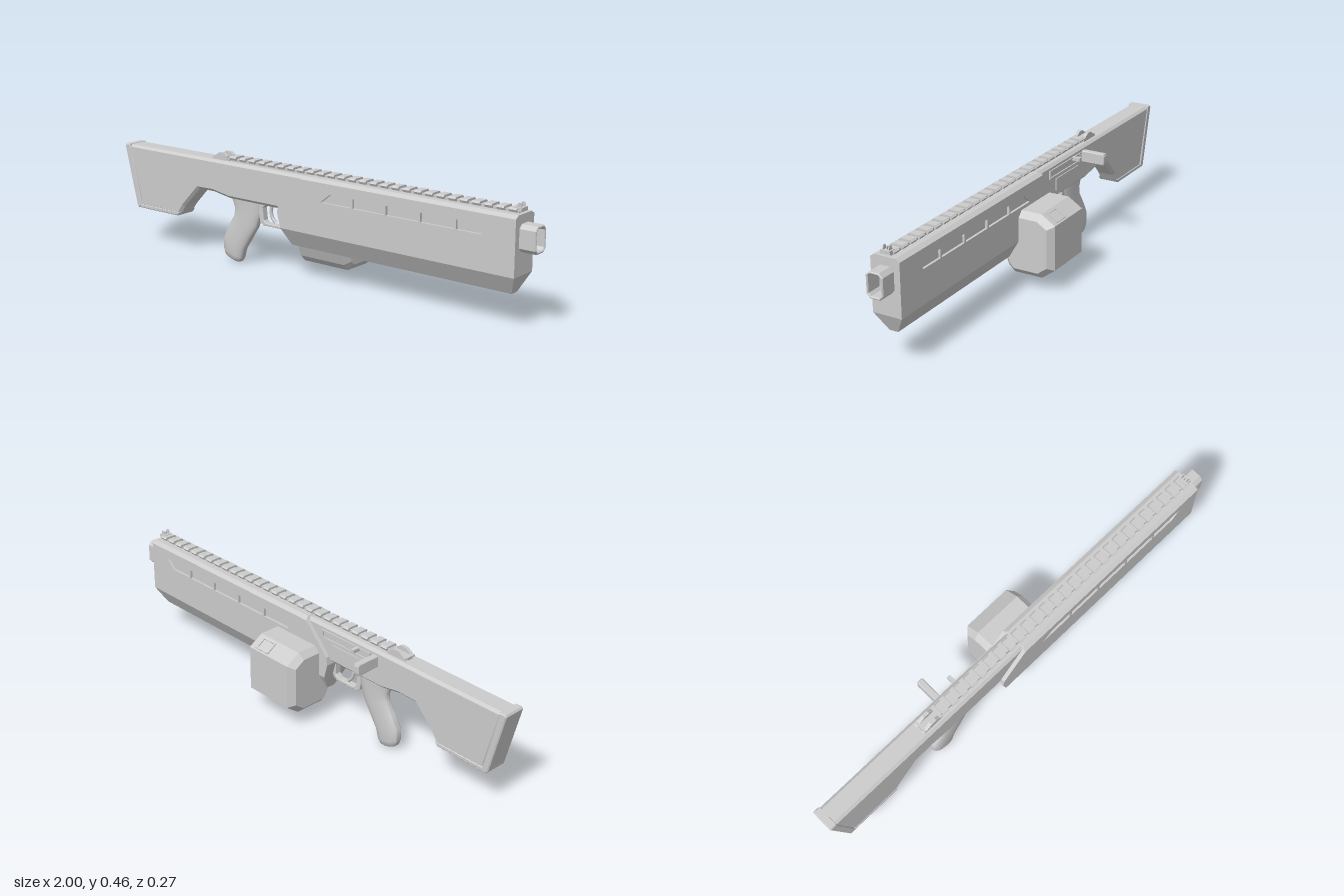
import * as THREE from 'three';
import { toCreasedNormals } from 'three/addons/utils/BufferGeometryUtils.js';

const ZC = 0.074; // centre plane of the weapon
const mat = new THREE.MeshStandardMaterial({ color: 0xcccccc });

export function createModel() {
  const root = new THREE.Group();

  const add = (name, geo, x = 0, y = 0, z = 0, parent = root) => {
    const m = new THREE.Mesh(geo, mat);
    m.name = name;
    m.position.set(x, y, z);
    parent.add(m);
    return m;
  };
  const box = (name, w, h, d, x, y, z, parent) =>
    add(name, new THREE.BoxGeometry(w, h, d), x, y, z, parent);
  const poly = (pts) => new THREE.Shape(pts.map(([x, y]) => new THREE.Vector2(x, y)));

  // Side profile extruded symmetrically about z = 0, with optional holes and chamfer
  const slab = (pts, half, bevel = 0, holes = []) => {
    const shape = poly(pts);
    holes.forEach((h) => shape.holes.push(poly(h)));
    const geo = new THREE.ExtrudeGeometry(shape, {
      depth: 2 * (half - bevel), bevelEnabled: bevel > 0, bevelSize: bevel,
      bevelThickness: bevel, bevelOffset: -bevel, bevelSegments: 1,
    });
    return geo.translate(0, 0, bevel - half);
  };

  // Skin over rings listed bottom to top, counter-clockwise from above, with end caps
  const loft = (rings) => {
    const pos = [];
    const tri = (...p) => p.forEach((v) => pos.push(...v));
    const n = rings[0].length;
    for (let r = 0; r < rings.length - 1; r++) {
      const a = rings[r], b = rings[r + 1];
      for (let i = 0; i < n; i++) {
        const j = (i + 1) % n;
        tri(a[i], a[j], b[j]);
        tri(a[i], b[j], b[i]);
      }
    }
    const lo = rings[0], hi = rings[rings.length - 1];
    for (let i = 1; i < n - 1; i++) {
      tri(lo[0], lo[i + 1], lo[i]);
      tri(hi[0], hi[i], hi[i + 1]);
    }
    const geo = new THREE.BufferGeometry();
    geo.setAttribute('position', new THREE.Float32BufferAttribute(pos, 3));
    geo.computeVertexNormals();
    return geo;
  };
  // Rectangular ring: height, x range, half depth
  const rect = ([y, x0, x1, h]) => [[x1, y, h], [x1, y, -h], [x0, y, -h], [x0, y, h]];

  // Receiver and stock in one profile, with a recess in the stock
  add('receiverAndStock', slab([
    [-0.98, 0.418], [-0.915, 0.158], [-0.69, 0.158], [-0.665, 0.195], [-0.58, 0.283],
    [-0.5, 0.285], [-0.41, 0.27], [0.02, 0.27], [0.02, 0.418],
  ], 0.044, 0.011, [[[-0.945, 0.292], [-0.91, 0.172], [-0.72, 0.172], [-0.7, 0.292]]]), 0, 0, ZC);
  add('stockRecessPanel', loft([
    [0.165, -0.94, -0.69, 0.042], [0.268, -0.96, -0.69, 0.03], [0.293, -0.96, -0.69, 0.0435],
  ].map(rect)), 0, 0, ZC);
  add('buttPad', slab([[-1, 0.412], [-0.995, 0.42], [-0.97, 0.42], [-0.91, 0.16],
    [-0.93, 0.15], [-0.938, 0.158]], 0.047, 0.004), 0, 0, ZC);
  add('stockToe', slab([[-0.93, 0.168], [-0.93, 0.152], [-0.7, 0.152], [-0.685, 0.168]],
    0.046, 0.003), 0, 0, ZC);

  // Handguard: pierced upper shell, tapering keel and chamfered top
  const slots = [0, 1, 2, 3, 4].map((i) => {
    const a = 0.078 + i * 0.1535, b = a + 0.1445;
    return [[a, 0.334], [i === 4 ? b - 0.04 : b, 0.334], [b, 0.37], [i === 0 ? a + 0.045 : a, 0.37]];
  });
  add('handguardShell', slab([
    [-0.022, 0.41], [-0.134, 0.292], [-0.14, 0.26], [-0.124, 0.2], [0.935, 0.2], [0.935, 0.41],
  ], 0.06, 0, slots), 0, 0, ZC);
  box('slotBacking', 0.82, 0.06, 0.1, 0.46, 0.352, ZC);
  add('handguardKeel', loft([
    [0.128, -0.1, 0.902, 0.018], [0.2, -0.124, 0.935, 0.06]].map(rect)), 0, 0, ZC);
  add('handguardTop', loft([
    [0.41, -0.022, 0.935, 0.06], [0.421, -0.015, 0.935, 0.043]].map(rect)), 0, 0, ZC);

  // Hollow eight-sided muzzle, extruded along x
  const octagon = (w, h, c) => [[w, h - c], [w - c, h], [c - w, h], [-w, h - c],
    [-w, c - h], [c - w, -h], [w - c, -h], [w, c - h]];
  add('muzzle', slab(octagon(0.035, 0.05, 0.015), 0.05, 0.003, [octagon(0.026, 0.041, 0.01)])
    .rotateY(Math.PI / 2), 0.95, 0.337, ZC);

  // Toothed top rail
  const rail = new THREE.Group();
  rail.name = 'topRail';
  root.add(rail);
  box('railBase', 1.34, 0.014, 0.034, 0.25, 0.424, ZC, rail);
  const tooth = slab([[-0.028, 0.003], [-0.023, -0.006], [0.023, -0.006], [0.028, 0.003],
    [0.021, 0.009], [-0.021, 0.009]], 0.015).rotateY(Math.PI / 2);
  for (let i = 0; i < 27; i++) add('railTooth', tooth, -0.4 + i * 0.05, 0.43, ZC, rail);

  // Rear and front sights
  box('rearSightBase', 0.09, 0.012, 0.05, -0.465, 0.424, ZC);
  box('frontSightBase', 0.03, 0.014, 0.04, 0.917, 0.434, ZC);
  box('frontSightPost', 0.008, 0.02, 0.004, 0.917, 0.442, ZC);
  for (const s of [-1, 1]) {
    add('rearSightEar', slab([[-0.515, 0.42], [-0.43, 0.42], [-0.432, 0.436], [-0.45, 0.447],
      [-0.475, 0.447]], 0.007), 0, 0, ZC + s * 0.019);
    add('frontSightWing', slab([[0.905, 0.435], [0.93, 0.435], [0.924, 0.457], [0.914, 0.457]],
      0.002), 0, 0, ZC + s * 0.012);
  }

  // Swept pistol grip: centre x, y, half length, half width, tilt of section
  const grip = [
    [-0.424, 0.004, 0.03, 0.014, 0.28], [-0.424, 0.012, 0.044, 0.021, 0.28],
    [-0.422, 0.03, 0.053, 0.025, 0.28], [-0.415, 0.075, 0.06, 0.026, 0.3],
    [-0.385, 0.125, 0.062, 0.025, 0.34], [-0.352, 0.175, 0.064, 0.024, 0.25],
    [-0.34, 0.22, 0.07, 0.024, 0.05], [-0.342, 0.255, 0.08, 0.025, -0.05],
    [-0.345, 0.285, 0.09, 0.026, 0],
  ].map(([x, y, a, b, tilt]) => Array.from({ length: 24 }, (_, i) => {
    const t = (i / 24) * Math.PI * 2, c = Math.cos(t), s = Math.sin(t);
    const u = a * Math.sign(c) * Math.abs(c) ** 0.8;
    return [x + u * Math.cos(tilt), y - u * Math.sin(tilt),
      -b * Math.sign(s) * Math.abs(s) ** 0.8];
  }));
  const gripGeo = loft(grip);
  gripGeo.computeBoundingBox();
  gripGeo.translate(0, -gripGeo.boundingBox.min.y, 0);
  add('pistolGrip', toCreasedNormals(gripGeo, 0.9), 0, 0, ZC);

  // Trigger guard and trigger
  add('triggerGuard', slab([
    [-0.285, 0.275], [-0.27, 0.19], [-0.255, 0.179], [-0.145, 0.179], [-0.125, 0.192], [-0.12, 0.275],
  ], 0.014, 0.002, [[[-0.256, 0.25], [-0.25, 0.2], [-0.238, 0.19], [-0.155, 0.19], [-0.139, 0.204],
    [-0.139, 0.25], [-0.155, 0.262], [-0.24, 0.262]]]), 0, 0, ZC);
  add('trigger', new THREE.TubeGeometry(new THREE.CatmullRomCurve3([
    [-0.215, 0.27], [-0.222, 0.24], [-0.216, 0.215], [-0.198, 0.196],
  ].map(([x, y]) => new THREE.Vector3(x, y, 0))), 12, 0.007, 8), 0, 0, ZC);

  // Side magazine, profile drawn in depth and height, then turned along x
  add('magazine', slab([
    [-0.04, 0.321], [0.072, 0.321], [0.132, 0.283], [0.132, 0.1], [0.076, 0.059],
    [-0.046, 0.059], [-0.072, 0.085], [-0.09, 0.128], [-0.09, 0.2],
  ], 0.13, 0.024).rotateY(Math.PI / 2), 0.035, 0, 0);
  const latch = new THREE.Group();
  latch.name = 'magazineLatch';
  latch.position.set(0.08, 0.302, -0.102);
  latch.rotation.x = -0.55;
  root.add(latch);
  for (const s of [-1, 1]) {
    box('latchSide', 0.008, 0.008, 0.056, s * 0.031, 0, 0, latch);
    box('latchEnd', 0.062, 0.008, 0.008, 0, 0, s * 0.024, latch);
  }

  // Charging handle, bolt slot and ejection cover on the right side
  add('chargingHandle', slab([
    [-0.045, 0.352], [0.068, 0.352], [0.072, 0.362], [0.072, 0.39], [0.068, 0.4], [-0.045, 0.4],
  ], 0.013, 0.003).rotateY(Math.PI / 2), -0.378, 0, 0);
  box('boltPeg', 0.016, 0.014, 0.04, -0.29, 0.392, 0.015);
  for (const y of [0.365, 0.395]) box('boltSlotRim', 0.25, 0.005, 0.008, -0.225, y, 0.029);
  for (const x of [-0.35, -0.1]) box('boltSlotEnd', 0.005, 0.035, 0.008, x, 0.38, 0.029);
  box('ejectionCover', 0.18, 0.05, 0.006, -0.24, 0.325, 0.029);

  return root;
}
